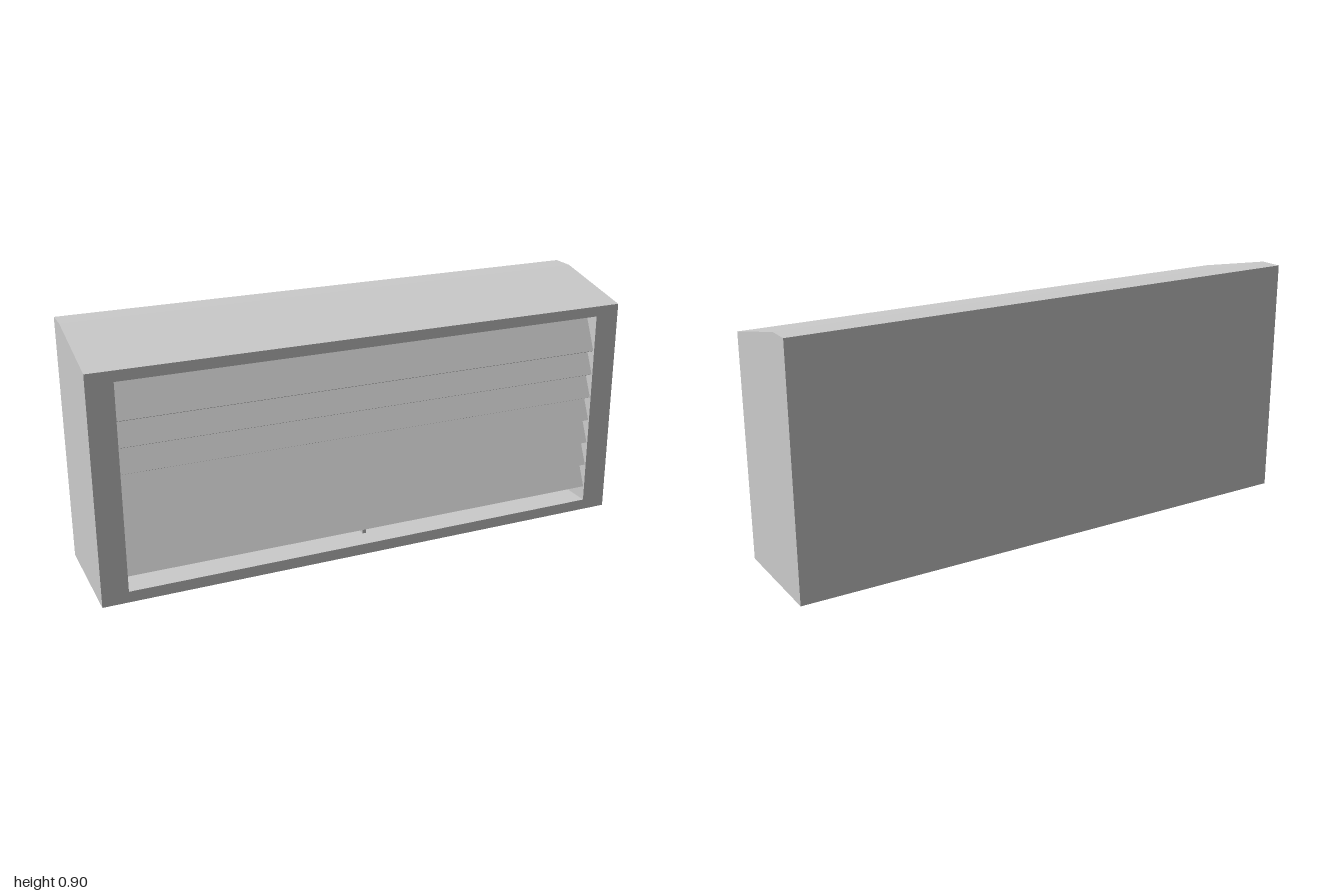
import * as THREE from 'three';

const material = new THREE.MeshStandardMaterial({ color: 0xcccccc, flatShading: true });

// Extrudes a side profile of [z, y] points across the width, from x0 to x1.
function extrudeAcross(name, points, x0, x1) {
  const shape = new THREE.Shape(points.map(([z, y]) => new THREE.Vector2(z, y)));
  const geometry = new THREE.ExtrudeGeometry(shape, { depth: x1 - x0, bevelEnabled: false });
  geometry.rotateY(-Math.PI / 2).translate(x1, 0, 0);
  const mesh = new THREE.Mesh(geometry, material);
  mesh.name = name;
  return mesh;
}

export function createModel() {
  const model = new THREE.Group();
  model.name = 'louvredHousing';

  const front = 0.211, back = -0.211, inner = 0.907;
  const sill = 0.04, head = 0.785;

  // Solid end walls with the sloping roof line
  const outline = [[back, 0], [front, 0], [front, 0.823], [-0.125, 0.897], [back, 0.897]];
  model.add(extrudeAcross('rightEndWall', outline, -1, -inner));
  model.add(extrudeAcross('leftEndWall', outline, inner, 1));

  // Floor, back wall and roof in one section, open to the front
  model.add(extrudeAcross('casing', [
    [back, 0], [front, 0], [front, sill], [-0.17, sill], [-0.17, head],
    [front, head], [front, 0.823], [-0.125, 0.897], [back, 0.897],
  ], -inner, inner));

  // Slanted louvre slats, lower edge forward
  const slats = new THREE.Group();
  slats.name = 'slats';
  const rise = 0.119, run = 0.055, thickness = 0.016;
  const length = Math.hypot(rise, run);
  const dz = -thickness * rise / length, dy = -thickness * run / length;
  for (let i = 0; i < 7; i++) {
    const y = 0.095 + i * 0.0925, z = 0.206;
    slats.add(extrudeAcross('slat' + (i + 1), [
      [z, y], [z - run, y + rise], [z - run + dz, y + rise + dy], [z + dz, y + dy],
    ], -inner, inner));
  }
  model.add(slats);

  // Thin upright supporting the slats at mid width
  const upright = new THREE.Mesh(new THREE.BoxGeometry(0.015, head - sill, 0.03), material);
  upright.name = 'centreUpright';
  upright.position.set(0, (head + sill) / 2, 0.115);
  model.add(upright);

  return model;
}
